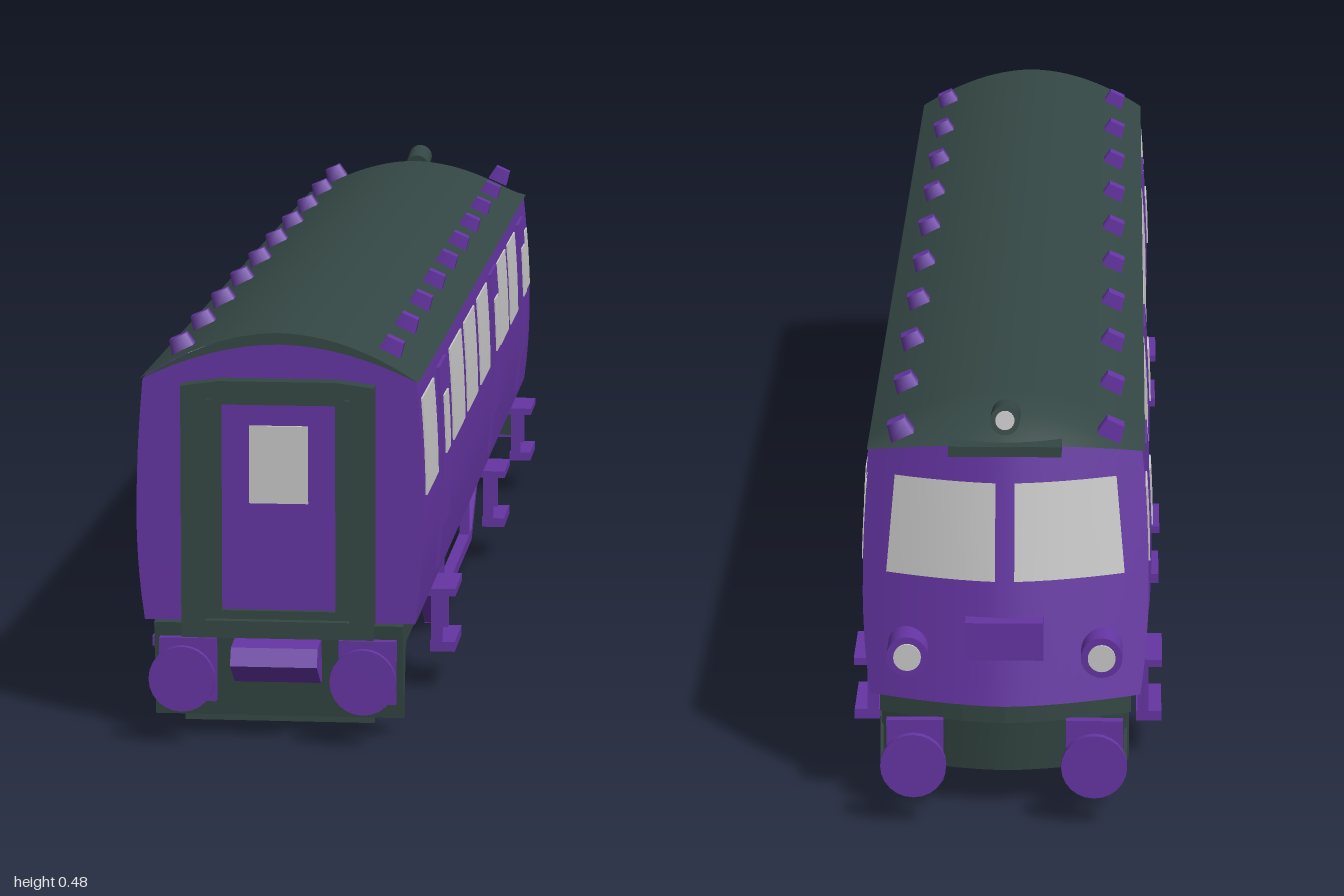
import * as THREE from 'three';

const mat = (name, color) => {
  const m = new THREE.MeshStandardMaterial({ color, side: THREE.DoubleSide });
  m.name = name;
  return m;
};

export function createModel() {
  const root = new THREE.Group();
  root.name = 'railcar';
  const purple = mat('purple paint', 0x6535a3);
  const dark = mat('dark roof and frame', 0x344744);
  const glass = mat('pale glass', 0xc9c9c9);
  const tankWhite = mat('tank white', 0xe2e2e2);

  const add = (name, geo, m, x = 0, y = 0, z = 0) => {
    const mesh = new THREE.Mesh(geo, m);
    mesh.name = name;
    mesh.position.set(x, y, z);
    root.add(mesh);
    return mesh;
  };
  const box = (name, m, w, h, d, x, y, z) => add(name, new THREE.BoxGeometry(w, h, d), m, x, y, z);
  // Cylinder lying along z
  const rod = (name, m, r, len, x, y, z) =>
    add(name, new THREE.CylinderGeometry(r, r, len, 24).rotateX(Math.PI / 2), m, x, y, z);
  const poly = (pts) => new THREE.Shape(pts.map((p) => new THREE.Vector2(p[0], p[1])));
  const extrude = (shape, depth) => new THREE.ExtrudeGeometry(shape, { depth, bevelEnabled: false });

  // Surface from a rule fn(u, v) -> [x, y, z]
  const grid = (fn, nu, nv) => {
    const pos = [], idx = [];
    for (let j = 0; j <= nv; j++) for (let i = 0; i <= nu; i++) pos.push(...fn(i / nu, j / nv));
    for (let j = 0; j < nv; j++) for (let i = 0; i < nu; i++) {
      const a = j * (nu + 1) + i, b = a + nu + 1;
      idx.push(a, a + 1, b + 1, a, b + 1, b);
    }
    const g = new THREE.BufferGeometry();
    g.setAttribute('position', new THREE.Float32BufferAttribute(pos, 3));
    g.setIndex(idx);
    g.computeVertexNormals();
    return g;
  };

  // Body rules: wall half width, roof height, cab face depth
  const FRONT = 0.92, SILL = 0.13, EAVE = 0.412;
  const lerp = THREE.MathUtils.lerp;
  const halfW = (y) => 0.166 - (y < 0.25 ? 0.009 * ((0.25 - y) / 0.12) ** 2 : 0.008 * ((y - 0.25) / 0.16) ** 2);
  const roofH = (u) => 0.055 * (1 - Math.abs(u) ** 1.9);
  const cabZ = (x, y) => -(0.955 - 0.16 * (y - SILL) - 0.05 * (Math.abs(x) / 0.165) ** 1.6);

  // Side walls
  for (const s of [1, -1]) add('sideWall', grid((u, v) => {
    const y = lerp(SILL, EAVE, v), x = halfW(y);
    const z = lerp(FRONT, cabZ(x, y), s > 0 ? u : 1 - u);
    return [s * x, y, z];
  }, 1, 10), purple);

  // Curved cab face
  add('cabFace', grid((u, v) => {
    const k = 1 - 2 * u;
    const y = lerp(SILL, EAVE + roofH(k) * 0.35, v);
    const x = k * halfW(Math.min(y, EAVE));
    return [x, y, cabZ(x, y)];
  }, 16, 10), purple);

  // Roof, domed down towards the cab
  add('roof', grid((u, v) => {
    const k = 2 * u - 1, x = k * 0.161;
    const t = Math.max(0, (v - 0.125) / 0.875);
    const y = EAVE + roofH(k) * (1 - 0.65 * t * t);
    const z = v === 0 ? FRONT + 0.003 : lerp(-0.8, cabZ(x, EAVE + 0.02) - 0.006, t);
    return [x, y, z];
  }, 24, 8), dark);

  // Flat gangway end
  const endShape = (rise) => {
    const pts = [];
    for (let i = 0; i <= 8; i++) {
      const y = lerp(SILL, EAVE, i / 8);
      pts.push([halfW(y), y]);
    }
    for (let i = 1; i <= 16; i++) {
      const k = 1 - i / 8;
      pts.push([k * 0.158, EAVE + roofH(k) * rise]);
    }
    for (let i = 7; i >= 0; i--) {
      const y = lerp(SILL, EAVE, i / 8);
      pts.push([-halfW(y), y]);
    }
    return poly(pts);
  };
  add('roofEnd', new THREE.ShapeGeometry(endShape(1)), dark, 0, 0, FRONT - 0.002);
  add('endWall', new THREE.ShapeGeometry(endShape(0.75)), purple, 0, 0, FRONT);

  // Curved plate lying on a side wall
  const wallPlate = (name, m, s, z0, z1, y0, y1, off, slant = 0) => {
    const out = [], inn = [];
    for (let i = 0; i <= 5; i++) {
      const y = lerp(y0, y1, i / 5);
      out.push([s * (halfW(y) + off), y]);
      inn.unshift([s * (halfW(y) - 0.002), y]);
    }
    const g = extrude(poly([...out, ...inn]), z1 - z0);
    const p = g.attributes.position;
    for (let i = 0; i < p.count; i++)
      if (p.getZ(i) < 0.01) p.setZ(i, p.getZ(i) + slant * (p.getY(i) - y0));
    add(name, g, m, 0, 0, z0);
  };
  const windows = [[0.73, 0.885], [0.334, 0.505], [0.126, 0.286], [-0.088, 0.072], [-0.43, -0.28], [-0.618, -0.475]];
  const doors = [[0.575, 0.68], [-0.243, -0.135], [-0.765, -0.667]];
  for (const s of [1, -1]) {
    for (const [a, b] of windows) wallPlate('sideWindow', glass, s, a, b, 0.275, 0.388, 0.002);
    wallPlate('cabSideWindow', glass, s, -0.866, -0.79, 0.28, 0.365, 0.002, 0.2);
    for (const [a, b] of doors) {
      const c = (a + b) / 2;
      wallPlate('sideDoor', purple, s, a, b, 0.15, 0.392, 0.004);
      wallPlate('doorWindow', glass, s, c - 0.028, c + 0.028, 0.285, 0.355, 0.006);
      // Footstep hanging below each door
      box('stepTop', purple, 0.043, 0.009, 0.1, s * 0.162, 0.119, c);
      box('stepTread', purple, 0.03, 0.012, 0.1, s * 0.168, 0.053, c);
      for (const e of [-1, 1]) box('stepHanger', purple, 0.013, 0.07, 0.012, s * 0.161, 0.086, c + e * 0.044);
    }
    // Windscreen, headlamp
    add('windscreen', grid((u, v) => {
      const x = s * lerp(0.011, lerp(0.138, 0.128, v), u), y = lerp(0.275, 0.388, v);
      return [x, y, cabZ(x, y) - 0.004];
    }, 6, 2), glass);
    rod('headlamp', purple, 0.024, 0.06, s * 0.112, 0.19, -0.925);
    rod('headlampLens', glass, 0.016, 0.004, s * 0.112, 0.19, -0.956);
  }
  box('cabPanel', purple, 0.09, 0.045, 0.03, 0, 0.21, -0.943);
  box('cabBrow', dark, 0.13, 0.012, 0.04, 0, 0.428, -0.905);
  const horn = rod('roofLamp', dark, 0.017, 0.06, 0, 0.458, -0.885);
  horn.rotation.x = 0.15;
  const lens = rod('roofLampLens', glass, 0.011, 0.004, 0, 0.463, -0.916);
  lens.rotation.x = 0.15;

  // Roof ventilators
  for (let i = 0; i < 10; i++) for (const s of [1, -1]) {
    const vent = add('roofVent', new THREE.CylinderGeometry(0.015, 0.02, 0.02, 4).rotateY(Math.PI / 4), purple,
      s * 0.123, 0.441, 0.84 - i * 0.19);
    vent.rotation.z = -s * 0.42;
  }

  // Gangway: two stepped frames, door and window
  const frame = (name, w, y0, y1, hw, hy0, hy1, depth) => {
    const sh = poly([[-w, y0], [w, y0], [w, y1 - 0.006], [w * 0.6, y1], [-w * 0.6, y1], [-w, y1 - 0.006]]);
    sh.holes.push(poly([[-hw, hy0], [-hw, hy1], [hw, hy1], [hw, hy0]]));
    add(name, extrude(sh, depth), dark, 0, 0, FRONT);
  };
  frame('gangwayFrame', 0.111, 0.115, 0.414, 0.083, 0.135, 0.394, 0.026);
  frame('gangwayInnerFrame', 0.084, 0.132, 0.396, 0.066, 0.145, 0.385, 0.014);
  add('gangwayDoor', extrude(poly([[-0.066, 0.143], [0.066, 0.143], [0.07, 0.387], [-0.07, 0.387]]), 0.006), purple, 0, 0, FRONT);
  box('gangwayWindow', glass, 0.068, 0.09, 0.004, 0, 0.315, FRONT + 0.008);

  // Underframe and end aprons
  const floor = [[0.146, FRONT], [-0.146, FRONT]];
  for (let i = 0; i <= 12; i++) {
    const x = -0.146 + 0.292 * i / 12;
    floor.push([x, cabZ(x, SILL) + 0.006]);
  }
  add('underframe', extrude(poly(floor), 0.03).rotateX(Math.PI / 2), dark, 0, 0.138, 0);
  add('cabApron', grid((u, v) => {
    const x = lerp(0.144, -0.144, u);
    return [x, lerp(0.045, 0.13, v), cabZ(x, SILL) + 0.008 + 0.012 * (1 - v)];
  }, 12, 1), dark);
  for (const s of [1, -1]) add('cabApronSide', extrude(poly([[0.875, 0.115], [0.91, 0.045], [0.895, 0.125]]), 0.004)
    .rotateY(Math.PI / 2), dark, s * 0.142, 0, 0);
  add('endApron', extrude(poly([[-0.89, 0.13], [-0.936, 0.13], [-0.924, 0.02], [-0.914, 0.02]]), 0.288)
    .rotateY(Math.PI / 2), dark, -0.144, 0, 0);
  box('endApronLip', dark, 0.22, 0.01, 0.008, 0, 0.018, 0.918);

  // Buffers at both ends, coupler plate at the gangway end
  for (const e of [1, -1]) for (const s of [1, -1]) {
    const x = s * 0.104, y = e > 0 ? 0.077 : 0.073;
    box('bufferBase', purple, 0.066, 0.074, 0.012, x, y, e * 0.94);
    rod('bufferShaft', purple, 0.014, 0.06, x, y, e * 0.962);
    rod('bufferHead', purple, 0.038, 0.009, x, y, e * 0.9955);
  }
  add('couplerPlate', extrude(poly([[-0.93, 0.115], [-0.975, 0.11], [-0.985, 0.09], [-0.94, 0.063], [-0.93, 0.063]]), 0.1)
    .rotateY(Math.PI / 2), purple, -0.05, 0, 0);

  // Side trusses below the floor
  const bar = (x, a, b, t) => {
    const dz = b[0] - a[0], dy = b[1] - a[1];
    const m = box('trussBar', purple, 0.015, t, Math.hypot(dz, dy) + t * 0.5, x, (a[1] + b[1]) / 2, (a[0] + b[0]) / 2);
    m.rotation.x = -Math.atan2(dy, dz);
  };
  const truss = [[0.43, 0.104], [0.285, 0.008], [-0.285, 0.008], [-0.445, 0.104]];
  for (const s of [1, -1]) {
    for (let i = 0; i < 3; i++) bar(s * 0.12, truss[i], truss[i + 1], 0.014);
    bar(s * 0.12, truss[0], truss[3], 0.012);
    for (const z of [0.285, 0.155, -0.255]) box('trussPost', purple, 0.013, 0.09, 0.01, s * 0.12, 0.057, z);
    box('equipmentPanel', purple, 0.008, 0.06, 0.115, s * 0.111, 0.06, 0.222);
    box('equipmentPanel', purple, 0.008, 0.06, 0.11, s * 0.111, 0.065, -0.317);
    // Air tanks with straps
    add('tank', new THREE.CapsuleGeometry(0.032, 0.33, 8, 24).rotateX(Math.PI / 2), tankWhite, s * 0.08, 0.057, -0.045);
    for (const z of [0.098, -0.2]) rod('tankStrap', dark, 0.035, 0.016, s * 0.08, 0.057, z);
  }
  box('equipmentBox', dark, 0.22, 0.09, 0.21, 0, 0.065, 0.265);
  box('equipmentBox', dark, 0.22, 0.08, 0.13, 0, 0.072, -0.315);

  return root;
}
